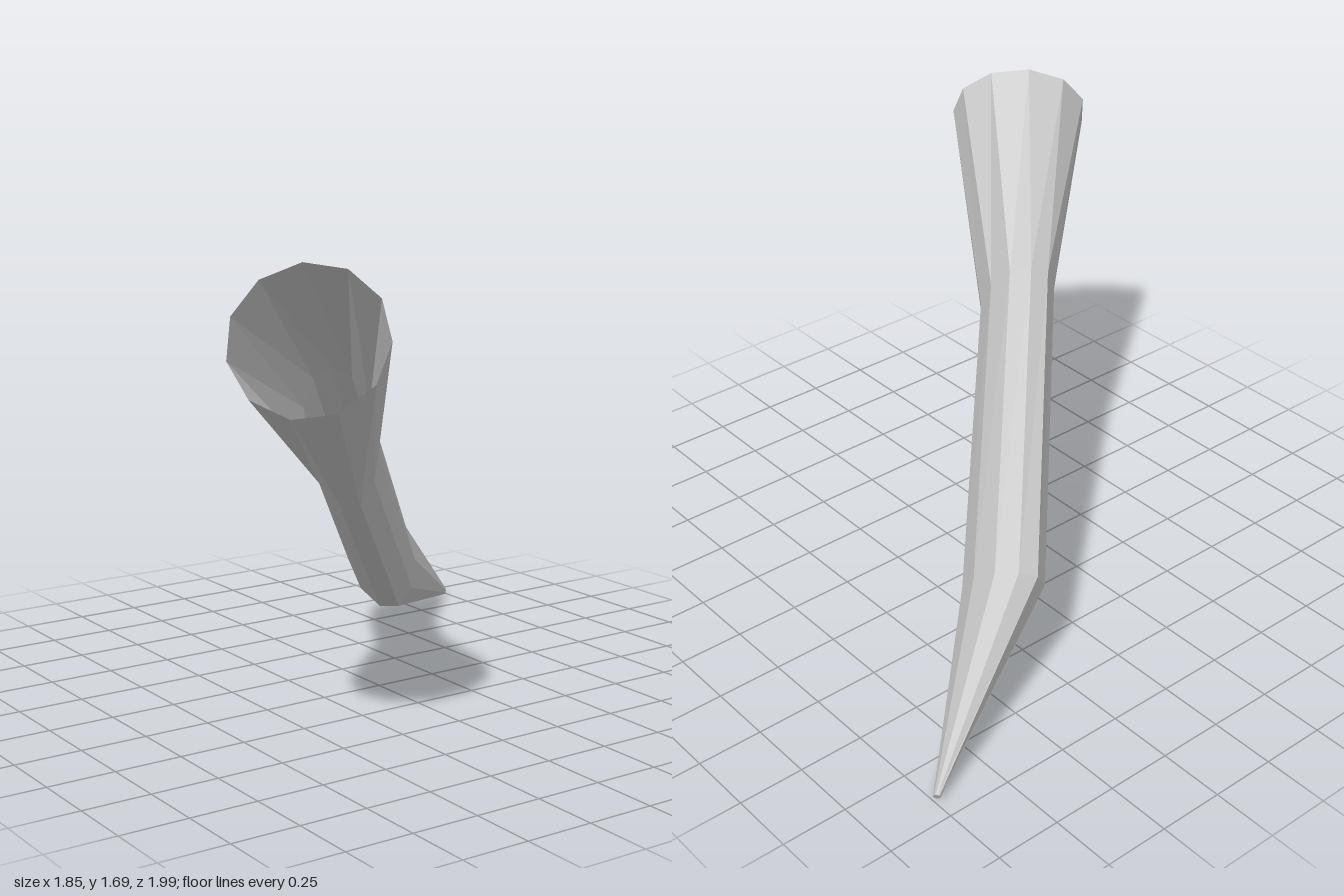
import * as THREE from 'three';

const SIDES = 11;
const START = THREE.MathUtils.degToRad(-120);

// Oval cross-sections from tip to mouth: centre c, long half-axis u, short half-axis v
const SECTIONS = [
  { c: [-0.915, 0.02, -0.99], u: [0.012, -0.018, 0.004], v: [0.009, 0.003, -0.008] },
  { c: [-0.533, 0.366, -0.377], u: [0.17, -0.195, 0.055], v: [0.08, 0.025, -0.105] },
  { c: [0.15, 1.018, 0.273], u: [0.157, -0.223, 0.051], v: [0.07, 0.026, -0.104] },
  { c: [0.723, 1.467, 0.777], u: [0.139, -0.226, 0.04], v: [0.142, 0.054, -0.217] },
];

// Ring of corners around one cross-section
function ringPoints({ c, u, v }) {
  return Array.from({ length: SIDES }, (_, k) => {
    const a = START + (k / SIDES) * Math.PI * 2;
    return c.map((n, i) => n + u[i] * Math.cos(a) + v[i] * Math.sin(a));
  });
}

function facetedMesh(name, positions, material) {
  const geometry = new THREE.BufferGeometry();
  geometry.setAttribute('position', new THREE.Float32BufferAttribute(positions, 3));
  geometry.computeVertexNormals();
  const mesh = new THREE.Mesh(geometry, material);
  mesh.name = name;
  return mesh;
}

export function createModel() {
  const group = new THREE.Group();
  group.name = 'hollowHorn';
  const material = new THREE.MeshStandardMaterial({
    color: 0xcccccc, flatShading: true, side: THREE.DoubleSide,
  });
  const rings = SECTIONS.map(ringPoints);

  // Walls: pointed tip, flattened shaft and flared open mouth
  ['taperedTip', 'flattenedShaft', 'flaredMouth'].forEach((name, s) => {
    const low = rings[s], high = rings[s + 1], positions = [];
    for (let k = 0; k < SIDES; k++) {
      const n = (k + 1) % SIDES;
      positions.push(...low[k], ...low[n], ...high[n], ...low[k], ...high[n], ...high[k]);
    }
    group.add(facetedMesh(name, positions, material));
  });

  // Small cap closing the tip
  const cap = [];
  for (let k = 0; k < SIDES; k++) {
    cap.push(...SECTIONS[0].c, ...rings[0][(k + 1) % SIDES], ...rings[0][k]);
  }
  group.add(facetedMesh('tipCap', cap, material));

  return group;
}
